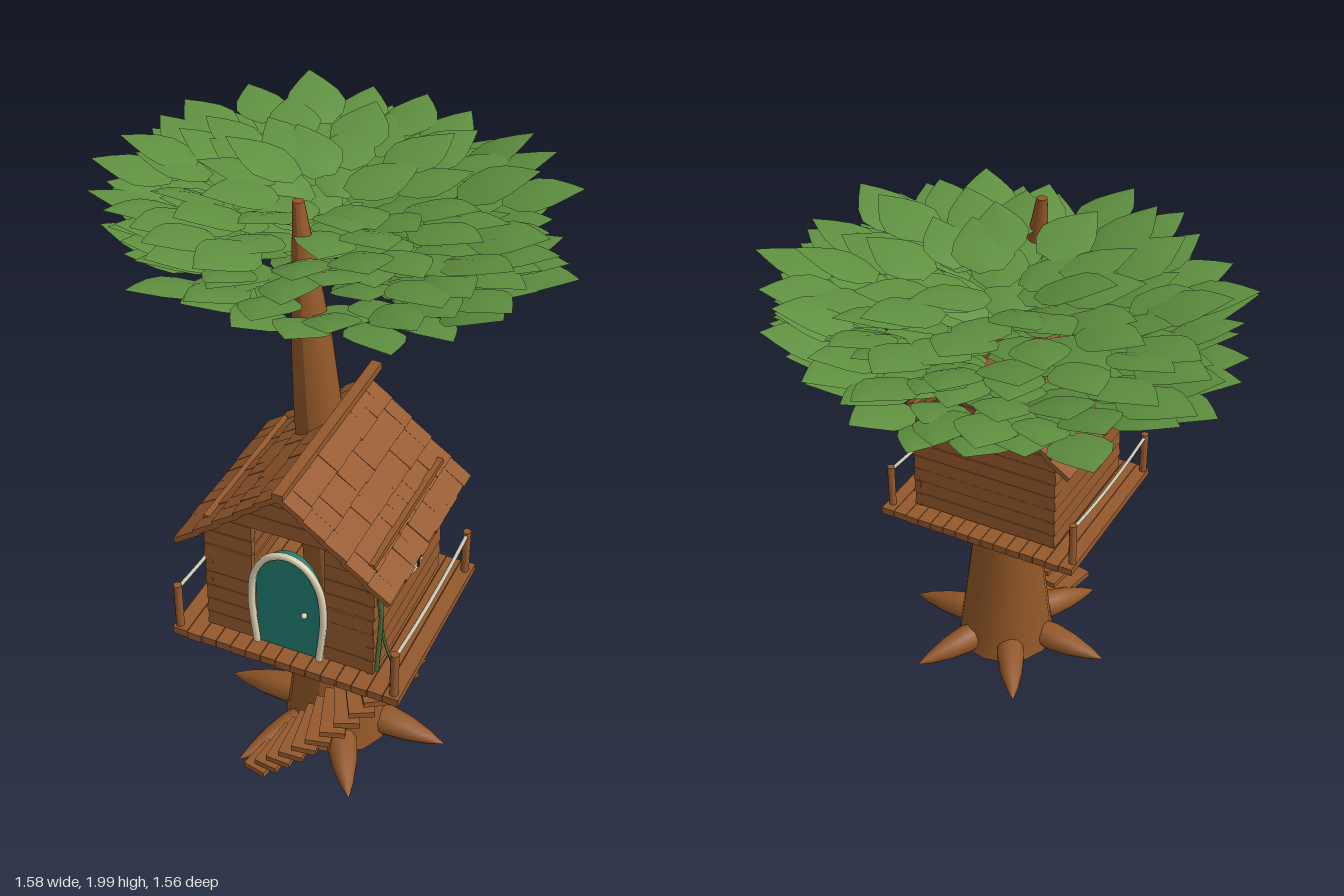
import * as THREE from 'three';
import { mergeGeometries } from 'three/addons/utils/BufferGeometryUtils.js';

const mat = (name, color, side = THREE.FrontSide) => {
  const m = new THREE.MeshStandardMaterial({ color, side });
  m.name = name;
  return m;
};

export function createModel() {
  const bark = mat('bark', 0x925728), wood = mat('plank wood', 0x95592d), darkWood = mat('dark wood', 0x5c3219);
  const teal = mat('door teal', 0x20796f), cream = mat('cream trim', 0xdfd4b4), pane = mat('window pane', 0xd6caa6);
  const rope = mat('rope', 0xcac9b4), vine = mat('vine green', 0x50743a);
  const leafGreen = mat('leaf green', 0x5f9040, THREE.DoubleSide);

  const model = new THREE.Group();
  let seed = 7;
  const rnd = () => (seed = (seed * 16807) % 2147483647) / 2147483647;
  const jit = (a) => (rnd() - 0.5) * 2 * a;
  const V = (x, y, z) => new THREE.Vector3(x, y, z);
  const add = (name, geo, material, parent = model) => {
    const m = new THREE.Mesh(geo, material);
    m.name = name;
    parent.add(m);
    return m;
  };
  const box = (w, h, d, x, y, z) => new THREE.BoxGeometry(w, h, d).translate(x, y, z);
  // Round beam between two points
  const beam = (a, b, r, sides = 10) => {
    const d = b.clone().sub(a);
    const q = new THREE.Quaternion().setFromUnitVectors(V(0, 1, 0), d.clone().normalize());
    const p = a.clone().add(b).multiplyScalar(0.5);
    return new THREE.CylinderGeometry(r, r, d.length(), sides).applyQuaternion(q).translate(p.x, p.y, p.z);
  };
  const tube = (pts, r, n = 24) => new THREE.TubeGeometry(new THREE.CatmullRomCurve3(pts), n, r, 6);

  // Leaning, tapering trunk: rows of height, centre x, centre z, radius
  const rings = [[0.01, 0.225, 0.35, 0.19], [0.12, 0.225, 0.35, 0.175], [0.35, 0.215, 0.335, 0.148],
    [0.65, 0.205, 0.318, 0.115], [1, 0.17, 0.312, 0.1], [1.35, 0.128, 0.311, 0.077], [1.55, 0.108, 0.302, 0.066],
    [1.75, 0.08, 0.282, 0.046], [2, 0.045, 0.258, 0.018]];
  const trunk = new THREE.CylinderGeometry(1, 1, 1, 14, rings.length - 1);
  const tp = trunk.attributes.position;
  for (let i = 0; i < tp.count; i++) {
    const [y, cx, cz, r] = rings[Math.round((tp.getY(i) + 0.5) * (rings.length - 1))];
    tp.setXYZ(i, cx + tp.getX(i) * r, y, cz + tp.getZ(i) * r);
  }
  trunk.computeVertexNormals();
  add('trunk', trunk, bark);

  // Six roots: bulging cones spread like a star
  const rootProfile = [[0.02, 0], [0.047, 0.12], [0.055, 0.2], [0.045, 0.28], [0.024, 0.36], [0, 0.42]]
    .map(([r, h]) => new THREE.Vector2(r, h));
  for (let i = 0; i < 6; i++) {
    const g = new THREE.LatheGeometry(rootProfile, 10).rotateX(Math.PI / 2 + 0.12);
    g.rotateY(Math.PI / 6 + i * Math.PI / 3).translate(0.215, 0.084, 0.35);
    add('root', g, bark);
  }

  // Curving stair treads
  for (let i = 0; i < 12; i++) {
    const a = (-11.5 + i * 5) * Math.PI / 180;
    const g = new THREE.BoxGeometry(0.085, 0.022, 0.2).rotateY(a);
    add('stairTread', g.translate(0.2 + 0.45 * Math.sin(a), 0.07 + i * 0.0474, 0.22 + 0.45 * Math.cos(a)), wood);
  }

  // Deck boards, cross joists and braces
  for (let i = 0; i < 15; i++) {
    add('deckBoard', box(0.05, 0.028, 0.69 + jit(0.004), -0.144 + i * 0.0525, 0.651, 0.443), wood);
  }
  for (const z of [0.2, 0.68]) add('deckJoist', box(0.74, 0.012, 0.03, 0.222, 0.634, z), wood);
  add('brace', beam(V(-0.08, 0.645, 0.475), V(0.12, 0.41, 0.39), 0.022), wood);
  add('brace', beam(V(0.53, 0.645, 0.475), V(0.28, 0.38, 0.385), 0.022), wood);

  // Corner posts with slack rope rails along both sides
  for (const x of [-0.153, 0.593]) {
    for (const z of [0.765, 0.14]) add('railPost', beam(V(x, 0.64, z), V(x, 0.835, z), 0.014), wood);
    add('ropeRail', tube([V(x, 0.82, 0.765), V(x, 0.806, 0.6), V(x, 0.802, 0.45), V(x, 0.806, 0.3), V(x, 0.82, 0.14)], 0.007), rope);
  }

  // Plank walls; planks above the eaves are cut to the gable slope
  const CX = 0.22, Z0 = 0.165, Z1 = 0.73, PITCH = 0.0567, PLANK = 0.0545;
  const half = (y) => Math.max(0.006, Math.min(0.285, (1.315 - y) / 0.84));
  const gablePlank = (y, z, inner) => {
    const y1 = y + PLANK;
    const pieces = inner ? [-1, 1] : [0];
    for (const s of pieces) {
      const pts = s === 0 ? [[-half(y), y], [half(y), y], [half(y1), y1], [-half(y1), y1]]
        : [[s * inner, y], [s * half(y), y], [s * half(y1), y1], [s * inner, y1]];
      const shape = new THREE.Shape(pts.map(([x, h]) => new THREE.Vector2(CX + x, h)));
      add('endWallPlank', new THREE.ExtrudeGeometry(shape, { depth: 0.024, bevelEnabled: false }).translate(0, 0, z + jit(0.003)), wood);
    }
  };
  for (let i = 0; i < 11; i++) {
    const y = 0.678 + i * PITCH;
    gablePlank(y, Z0, 0);
    gablePlank(y, Z1 - 0.024, i < 8 ? 0.122 : 0);
    if (i < 8) {
      for (const s of [-1, 1]) {
        const g = new THREE.BoxGeometry(0.024, PLANK, Z1 - Z0).rotateZ(s * 0.08);
        add('sideWallPlank', g.translate(CX + s * 0.275 + jit(0.002), y + PITCH / 2 - 0.002, (Z0 + Z1) / 2), wood);
      }
    }
  }

  // Shingled roof with overlapping rows on each slope
  const slope = Math.atan2(0.285, 0.35);
  for (const s of [-1, 1]) {
    const parts = [];
    for (let row = 0; row < 5; row++) {
      for (let c = 0; c < 11; c++) {
        const t = (row + 0.5) / 5;
        const g = new THREE.BoxGeometry(0.106 + jit(0.006), 0.018, 0.0625);
        g.rotateZ(-s * (slope - 0.08 + jit(0.02)));
        parts.push(g.translate(CX + s * 0.35 * t, 1.33 - 0.285 * t + jit(0.002), 0.147 + c * 0.061));
      }
    }
    add('roofShingles', mergeGeometries(parts), wood);
  }
  add('ridgeBeam', new THREE.BoxGeometry(0.035, 0.026, 0.74).rotateX(0.012).translate(CX, 1.337, 0.42), wood);

  // Arched door, trim and knob
  const door = new THREE.Shape();
  door.moveTo(CX - 0.108, 0.678);
  door.lineTo(CX + 0.108, 0.678);
  door.lineTo(CX + 0.108, 0.9);
  door.absellipse(CX, 0.9, 0.108, 0.163, 0, Math.PI, false);
  door.closePath();
  add('door', new THREE.ExtrudeGeometry(door, { depth: 0.03, bevelEnabled: false, curveSegments: 20 }).translate(0, 0, 0.705), teal);
  const trim = [[-0.108, 0.678], [-0.123, 0.86], [-0.108, 0.97], [-0.064, 1.04], [0, 1.064], [0.064, 1.04],
    [0.108, 0.97], [0.123, 0.86], [0.108, 0.678]];
  add('doorTrim', tube(trim.map(([x, y]) => V(CX + x, y, 0.738)), 0.012, 40), cream);
  add('doorKnob', new THREE.SphereGeometry(0.01, 10, 8).translate(0.28, 0.85, 0.743), cream);

  // Round window on the left wall
  const win = new THREE.Group();
  win.name = 'window';
  win.position.set(0.512, 0.955, 0.405);
  win.rotation.y = Math.PI / 2;
  model.add(win);
  add('windowPane', new THREE.CylinderGeometry(0.086, 0.086, 0.016, 28).rotateX(Math.PI / 2), pane, win);
  add('windowRing', new THREE.TorusGeometry(0.087, 0.011, 8, 32), cream, win);
  add('windowBar', box(0.165, 0.011, 0.008, 0, 0, 0.011), darkWood, win);
  add('windowBar', box(0.011, 0.165, 0.008, 0, 0, 0.011), darkWood, win);

  // Vines hanging at the front corner
  add('vine', tube([V(0.51, 1.04, 0.715), V(0.52, 0.92, 0.712), V(0.53, 0.8, 0.695), V(0.545, 0.68, 0.66)], 0.005), vine);
  add('vine', tube([V(0.512, 1.03, 0.72), V(0.525, 0.95, 0.716), V(0.522, 0.86, 0.712), V(0.515, 0.69, 0.716)], 0.008), vine);

  // One leaf: a pointed, folded blade along +z
  const leaf = new THREE.PlaneGeometry(1, 1, 2, 5).rotateX(-Math.PI / 2);
  const widths = [0.035, 0.08, 0.096, 0.078, 0.042, 0];
  const lp = leaf.attributes.position;
  for (let i = 0; i < lp.count; i++) {
    const t = lp.getZ(i) + 0.5, side = Math.sign(Math.round(lp.getX(i) * 2));
    const w = widths[Math.round(t * 5)];
    lp.setXYZ(i, side * w, 0.012 * Math.sin(Math.PI * t) - Math.abs(side) * w * 0.15, t * 0.25);
  }
  leaf.computeVertexNormals();

  // Canopy: staggered layers of leaf rings pointing outward around an open centre
  const leaves = [];
  for (let layer = 0; layer < 4; layer++) {
    [[0.09, 5], [0.22, 11], [0.36, 16], [0.5, 22]].forEach(([r, n]) => {
      for (let i = 0; i < n; i++) {
        const a = ((i + layer / 4 + jit(0.25)) / n) * Math.PI * 2;
        const size = 1 + jit(0.1), rr = r + jit(0.045);
        const g = leaf.clone().scale(size, 1, size).rotateZ(jit(0.15)).rotateX(-0.24 + jit(0.1)).rotateY(a + jit(0.2));
        leaves.push(g.translate(0.005 + rr * Math.sin(a), 1.645 + layer * 0.072 + jit(0.025), -0.085 + rr * Math.cos(a) * 0.84));
      }
    });
  }
  add('leafCanopy', mergeGeometries(leaves), leafGreen);

  return model;
}
